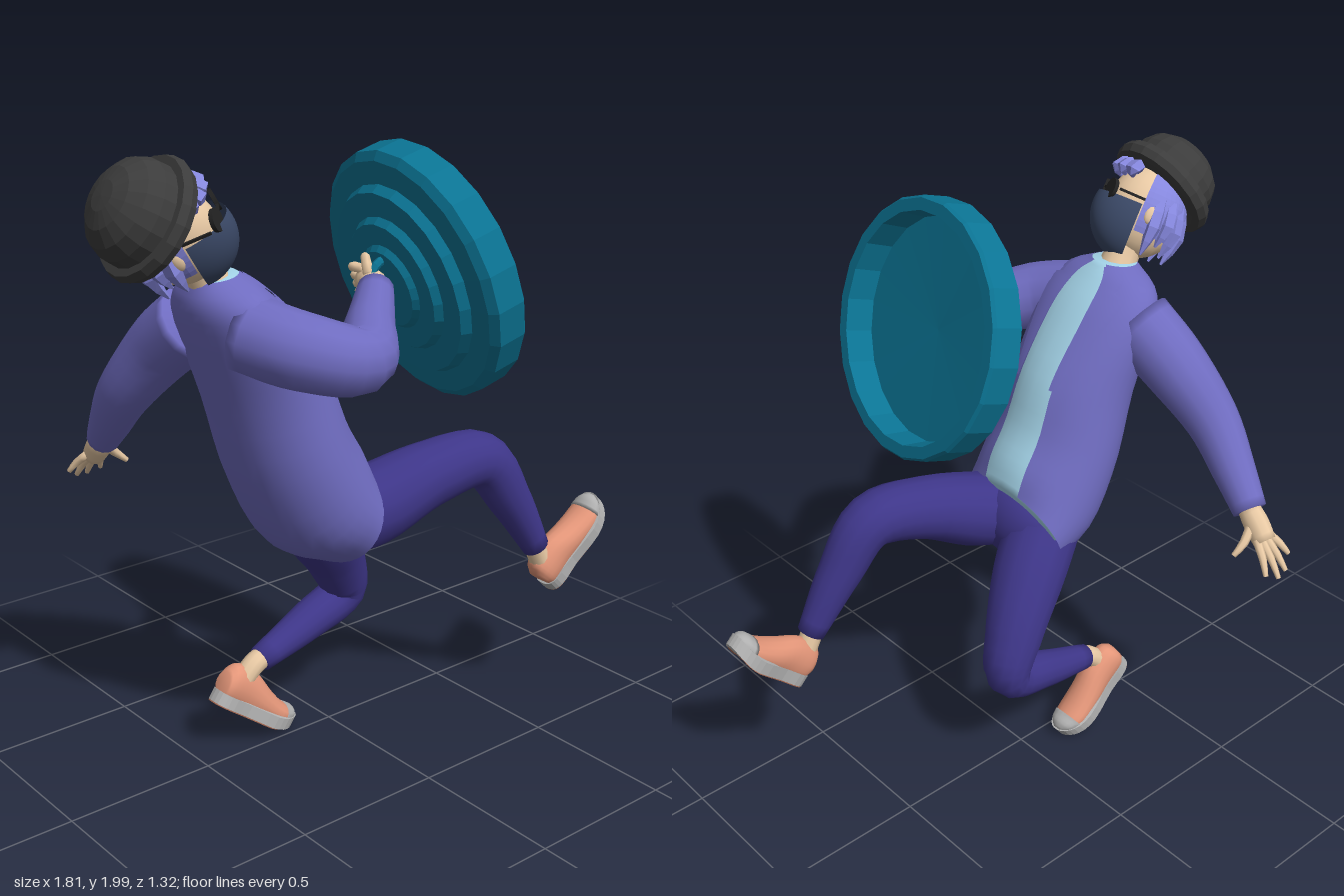
import * as THREE from 'three';

const V = (x, y, z = 0) => new THREE.Vector3(x, y, z);
const mat = (color, o = {}) => new THREE.MeshStandardMaterial({ color, ...o });
const DS = { side: THREE.DoubleSide };
const M = {
  jacket: mat(0x6f6cc0, DS), shirt: mat(0xa5d5ea), trousers: mat(0x3e3689),
  skin: mat(0xe8c9a4), shoe: mat(0xe5977a), sole: mat(0xb0b0b0), tread: mat(0xa86a52),
  shield: mat(0x0b7595, { flatShading: true }), hat: mat(0x3c3c3c, { flatShading: true }),
  hair: mat(0x8587dd, { flatShading: true, ...DS }), mask: mat(0x3a4866, DS), dark: mat(0x222222),
};

function add(parent, name, geo, material, pos) {
  const m = new THREE.Mesh(geo, material);
  m.name = name;
  if (pos) m.position.copy(pos);
  parent.add(m);
  return m;
}

// Skin a list of rings; closed rings get end caps
function loft(rings, closed = true) {
  const n = rings[0].length, pos = [], idx = [];
  rings.forEach(r => r.forEach(p => pos.push(p.x, p.y, p.z)));
  const last = closed ? n : n - 1;
  for (let i = 0; i < rings.length - 1; i++) for (let j = 0; j < last; j++) {
    const a = i * n + j, b = i * n + (j + 1) % n;
    idx.push(a, b, b + n, a, b + n, a + n);
  }
  if (closed) [0, rings.length - 1].forEach((ri, end) => {
    const c = V(0, 0);
    rings[ri].forEach(p => c.addScaledVector(p, 1 / n));
    const k = pos.length / 3;
    pos.push(c.x, c.y, c.z);
    for (let j = 0; j < n; j++) {
      const a = ri * n + j, b = ri * n + (j + 1) % n;
      end ? idx.push(k, a, b) : idx.push(k, b, a);
    }
  });
  const g = new THREE.BufferGeometry();
  g.setAttribute('position', new THREE.Float32BufferAttribute(pos, 3));
  g.setIndex(idx);
  g.computeVertexNormals();
  return g;
}

// Round limb through points [x, y, z, radius]
function limb(pts, sides = 12, per = 4, ref = V(0.13, 0.2, 0.97)) {
  const c = new THREE.CatmullRomCurve3(pts.map(p => V(p[0], p[1], p[2])));
  const rc = new THREE.CatmullRomCurve3(pts.map((p, i) => V(i, p[3])));
  const N = (pts.length - 1) * per, rings = [];
  for (let i = 0; i <= N; i++) {
    const t = c.getTangent(i / N), o = c.getPoint(i / N), r = rc.getPoint(i / N).y;
    const u = ref.clone().cross(t).normalize(), v = t.clone().cross(u);
    rings.push(Array.from({ length: sides }, (_, j) => {
      const a = j / sides * Math.PI * 2;
      return o.clone().addScaledVector(u, r * Math.cos(a)).addScaledVector(v, r * Math.sin(a));
    }));
  }
  return loft(rings);
}

// Oval sections, each spanning two xy points [x0, y0, x1, y1, halfWidth] about depth zc
function sections(st, { zc = 0, dir = 1, scale = 1, t0 = 0, t1 = 1, span = () => [0, Math.PI * 2], closed = true, steps = 20, sides = 24 }) {
  const A = new THREE.CatmullRomCurve3(st.map(s => V(s[0], s[1], s[4])), false, 'catmullrom');
  const B = new THREE.CatmullRomCurve3(st.map(s => V(s[2], s[3])), false, 'catmullrom');
  const rings = [];
  for (let i = 0; i <= steps; i++) {
    const t = t0 + (t1 - t0) * i / steps, a = A.getPoint(t), b = B.getPoint(t), w = a.z * scale * dir;
    const [s0, s1] = span(i / steps);
    rings.push(Array.from({ length: sides }, (_, j) => {
      const q = s0 + (s1 - s0) * j / (closed ? sides : sides - 1);
      const k = 0.5 + 0.5 * scale * Math.cos(q);
      return V(a.x + (b.x - a.x) * k, a.y + (b.y - a.y) * k, zc + w * Math.sin(q));
    }));
  }
  return loft(rings, closed);
}

// Curl the toe end of a shoe part upward
function curl(geo) {
  const p = geo.attributes.position;
  for (let i = 0; i < p.count; i++) p.setY(i, p.getY(i) + 2.2 * Math.max(0, p.getX(i) - 0.23) ** 2);
  geo.computeVertexNormals();
  return geo;
}

function shoe(name, pos, angle) {
  const g = new THREE.Group();
  g.name = name;
  g.position.copy(pos);
  g.rotation.z = angle;
  const half = [[0, 0.025], [0.03, 0.045], [0.12, 0.05], [0.24, 0.066], [0.31, 0.054], [0.345, 0.022]];
  const outline = [...half, ...half.slice().reverse().map(([x, z]) => [x, -z])];
  const shape = new THREE.Shape().setFromPoints(
    new THREE.CatmullRomCurve3(outline.map(p => V(p[0], p[1])), true).getPoints(36).map(p => new THREE.Vector2(p.x, p.y)));
  const slab = (depth) => curl(new THREE.ExtrudeGeometry(shape, { depth, bevelEnabled: false }).rotateX(-Math.PI / 2));
  add(g, 'sole', slab(0.04), M.sole, V(0, 0.004));
  add(g, 'tread', slab(0.006), M.tread).scale.set(0.97, 1, 0.94);
  add(g, 'upper', curl(sections([[0.005, 0.03, -0.005, 0.11, 0.033], [0.03, 0.01, 0.025, 0.148, 0.047], [0.11, 0.005, 0.1, 0.15, 0.05],
    [0.19, 0.005, 0.19, 0.115, 0.057], [0.28, 0.01, 0.28, 0.085, 0.057], [0.33, 0.02, 0.33, 0.062, 0.03]], { sides: 16 })), M.shoe);
  add(g, 'toeCap', curl(sections([[0.285, 0.01, 0.285, 0.086, 0.059], [0.32, 0.015, 0.32, 0.075, 0.045],
    [0.343, 0.02, 0.343, 0.05, 0.018]], { sides: 16, steps: 6 })), M.sole);
  return g;
}

function head() {
  const g = new THREE.Group();
  g.name = 'head';
  const up = V(-0.55, 0.83, 0.05).normalize(), side = up.clone().cross(V(0.7, 0.38, 0.64)).normalize();
  g.setRotationFromMatrix(new THREE.Matrix4().makeBasis(side, up, side.clone().cross(up)));
  g.position.set(-0.655, 1.775, 0.14);
  const ball = (name, m, s, ...arc) => {
    const b = add(g, name, new THREE.SphereGeometry(1, 24, 16, ...arc), m);
    b.scale.set(...s);
    return b;
  };
  const P = Math.PI;
  ball('skull', M.skin, [0.108, 0.148, 0.13]);
  const mask = ball('faceMask', M.mask, [0.108, 0.15, 0.155], P * 0.05, P * 0.9, P * 0.42, P * 0.5);
  mask.position.set(0, -0.025, 0.012);
  ball('hairCap', M.hair, [0.12, 0.15, 0.138], P * 0.92, P * 1.16, 0, P * 0.66);
  // Hanging locks round the back and sides, shorter fringe in front
  for (let i = 0; i < 18; i++) {
    const a = i / 18 * P * 2, front = Math.cos(a) > 0.55, len = front ? 0.045 : 0.145 + 0.02 * (i % 3);
    const x = Math.sin(a), z = Math.cos(a), y0 = front ? 0.125 : 0.05;
    if (Math.abs(x) > 0.85 && z > 0) continue;
    add(g, 'hairLock', limb([[x * 0.095, y0, z * 0.105, 0.022], [x * 0.115, y0 - len * 0.5, z * 0.13, 0.026],
      [x * 0.1, y0 - len, z * 0.115, 0.004]], 5, 2, V(x, 0, z)), M.hair);
  }
  for (const s of [-1, 1]) {
    const lens = add(g, 'sunglassLens', new THREE.CylinderGeometry(0.033, 0.033, 0.012, 18), M.dark, V(s * 0.05, 0.025, 0.135));
    lens.rotation.set(P / 2, 0, -s * 0.25);
    add(g, 'sunglassArm', new THREE.BoxGeometry(0.006, 0.008, 0.12), M.dark, V(s * 0.105, 0.028, 0.06));
    add(g, 'ear', new THREE.SphereGeometry(0.028, 10, 8), M.skin, V(s * 0.112, -0.01, 0)).scale.set(0.5, 1.1, 0.8);
  }
  add(g, 'sunglassBridge', new THREE.BoxGeometry(0.03, 0.007, 0.008), M.dark, V(0, 0.028, 0.143));
  return g;
}

const lathe = (pts, n) => new THREE.LatheGeometry(pts.map(p => new THREE.Vector2(...p)), n);

export function createModel() {
  const root = new THREE.Group();
  root.name = 'leaningFigure';

  // Jacket and shirt share the same bent torso
  const torso = [[-0.15, 0.69, -0.035, 1.0, 0.225], [-0.33, 0.78, -0.06, 1.08, 0.233], [-0.45, 1.0, -0.12, 1.18, 0.23],
    [-0.53, 1.25, -0.19, 1.35, 0.215], [-0.6, 1.47, -0.32, 1.53, 0.22], [-0.62, 1.57, -0.41, 1.62, 0.175], [-0.6, 1.64, -0.46, 1.66, 0.075]];
  const zc = 0.14, P2 = Math.PI * 2, open = 0.36;
  add(root, 'shirt', sections(torso, { zc, dir: -1, scale: 0.95 }), M.shirt);
  add(root, 'jacket', sections(torso, { zc, dir: -1, closed: false, sides: 32, span: () => [open, P2 - open] }), M.jacket);
  for (const s of [-1, 1]) add(root, 'lapel', sections(torso, { zc, dir: -s, scale: 1.05, t0: 0.48, t1: 0.98, closed: false,
    sides: 6, span: t => [open - 0.04, open + 0.05 + (t < 0.65 ? 0.8 * t : 0.25 + (t - 0.65))] }), M.jacket);

  // Sleeves
  add(root, 'shieldSleeve', limb([[-0.5, 1.5, 0.24, 0.115], [-0.42, 1.465, 0.4, 0.11], [-0.28, 1.435, 0.485, 0.096],
    [-0.17, 1.495, 0.39, 0.074], [-0.045, 1.56, 0.27, 0.055]], 14, 5, V(0.1, 1, 0.1)), M.jacket);
  add(root, 'freeSleeve', limb([[-0.5, 1.49, 0.0, 0.115], [-0.525, 1.385, -0.14, 0.108], [-0.57, 1.22, -0.285, 0.087],
    [-0.555, 1.095, -0.4, 0.07], [-0.53, 1.0, -0.5, 0.055]], 14, 5, V(1, 0, 0)), M.jacket);

  // Open free hand
  const free = new THREE.Group();
  free.name = 'freeHand';
  root.add(free);
  add(free, 'palm', limb([[-0.53, 1.01, -0.49, 0.036], [-0.53, 0.965, -0.53, 0.042], [-0.525, 0.92, -0.575, 0.038]], 10, 3, V(1, 0, 0)), M.skin);
  for (const [x0, x1, y1, z1] of [[-0.555, -0.595, 0.865, -0.62], [-0.535, -0.55, 0.835, -0.65], [-0.515, -0.505, 0.83, -0.66], [-0.497, -0.465, 0.845, -0.64]])
    add(free, 'finger', limb([[x0, 0.93, -0.565, 0.015], [(x0 + x1) / 2, (0.935 + y1) / 2, (z1 - 0.575) / 2, 0.013], [x1, y1, z1, 0.008]], 7, 2, V(1, 0, 0)), M.skin);
  add(free, 'thumb', limb([[-0.515, 0.97, -0.525, 0.018], [-0.465, 0.925, -0.54, 0.015], [-0.425, 0.89, -0.535, 0.009]], 7, 2), M.skin);

  // Gripping hand
  const grip = new THREE.Group();
  grip.name = 'shieldHand';
  root.add(grip);
  add(grip, 'palm', limb([[-0.055, 1.56, 0.28, 0.032], [-0.03, 1.57, 0.24, 0.042], [-0.022, 1.57, 0.19, 0.034]], 10, 3, V(0, 1, 0)), M.skin);
  for (let i = 0; i < 4; i++) {
    const y = 1.605 - i * 0.026, x = -0.03 + i * 0.009;
    add(grip, 'finger', limb([[x, y, 0.21, 0.014], [x - 0.01, y, 0.16, 0.013], [x + 0.025, y - 0.005, 0.13, 0.012], [x + 0.045, y - 0.01, 0.16, 0.009]], 7, 3, V(0, 1, 0)), M.skin);
  }
  add(grip, 'thumb', limb([[-0.045, 1.6, 0.24, 0.018], [-0.035, 1.645, 0.21, 0.014], [-0.01, 1.635, 0.18, 0.009]], 7, 2), M.skin);

  // Legs
  add(root, 'raisedTrouserLeg', limb([[-0.17, 0.84, 0.21, 0.115], [-0.03, 0.865, 0.235, 0.127], [0.17, 0.935, 0.28, 0.106],
    [0.365, 0.95, 0.315, 0.09], [0.48, 0.8, 0.335, 0.073], [0.6, 0.6, 0.355, 0.046]], 14, 5), M.trousers);
  add(root, 'bentTrouserLeg', limb([[-0.15, 0.85, 0.05, 0.125], [-0.04, 0.72, 0.005, 0.122], [0.065, 0.57, -0.045, 0.1],
    [0.12, 0.425, -0.075, 0.077], [-0.03, 0.36, -0.07, 0.066], [-0.245, 0.29, -0.055, 0.044]], 14, 5), M.trousers);
  add(root, 'trouserSeat', new THREE.SphereGeometry(0.15, 18, 12), M.trousers, V(-0.11, 0.85, 0.14)).scale.set(0.8, 0.95, 1.3);
  add(root, 'raisedAnkle', limb([[0.58, 0.63, 0.355, 0.036], [0.635, 0.52, 0.357, 0.036]]), M.skin);
  add(root, 'bentAnkle', limb([[-0.22, 0.3, -0.056, 0.036], [-0.27, 0.28, -0.056, 0.037], [-0.32, 0.23, -0.06, 0.037]]), M.skin);
  root.add(shoe('raisedShoe', V(0.675, 0.425, 0.357), 0.79), shoe('bentShoe', V(-0.43, 0.19, -0.066), -0.63));

  // Neck, head and bowler hat
  add(root, 'neck', limb([[-0.53, 1.6, 0.14, 0.066], [-0.57, 1.67, 0.14, 0.055], [-0.62, 1.74, 0.137, 0.055]]), M.skin);
  root.add(head());
  const hat = add(root, 'hat', lathe([[0, 0], [0.15, -0.015], [0.175, -0.012], [0.184, 0.012], [0.175, 0.036], [0.152, 0.036],
    [0.15, 0.075], [0.132, 0.118], [0.092, 0.15], [0.045, 0.165], [0, 0.168]], 20), M.hat, V(-0.735, 1.828, 0.15));
  hat.quaternion.setFromUnitVectors(V(0, 1), V(-0.86, 0.5, -0.04).normalize());

  // Round stepped shield with a rear handle
  const shield = new THREE.Group();
  shield.name = 'shield';
  shield.position.set(0.208, 1.602, 0.26);
  shield.quaternion.setFromUnitVectors(V(0, 1), V(0.95, 0.295, 0.09).normalize());
  root.add(shield);
  add(shield, 'shieldBody', lathe([[0, -0.195], [0.12, -0.195], [0.135, -0.178], [0.2, -0.178], [0.215, -0.155], [0.29, -0.155],
    [0.305, -0.125], [0.375, -0.12], [0.4, -0.1], [0.4, -0.01], [0.392, 0], [0.355, 0], [0.345, -0.09], [0, -0.1]], 22), M.shield);
  const handle = add(shield, 'handle', new THREE.TorusGeometry(0.095, 0.014, 8, 16, Math.PI), M.shield, V(0, -0.19));
  handle.rotation.z = Math.PI;
  handle.scale.y = 0.75;
  return root;
}
